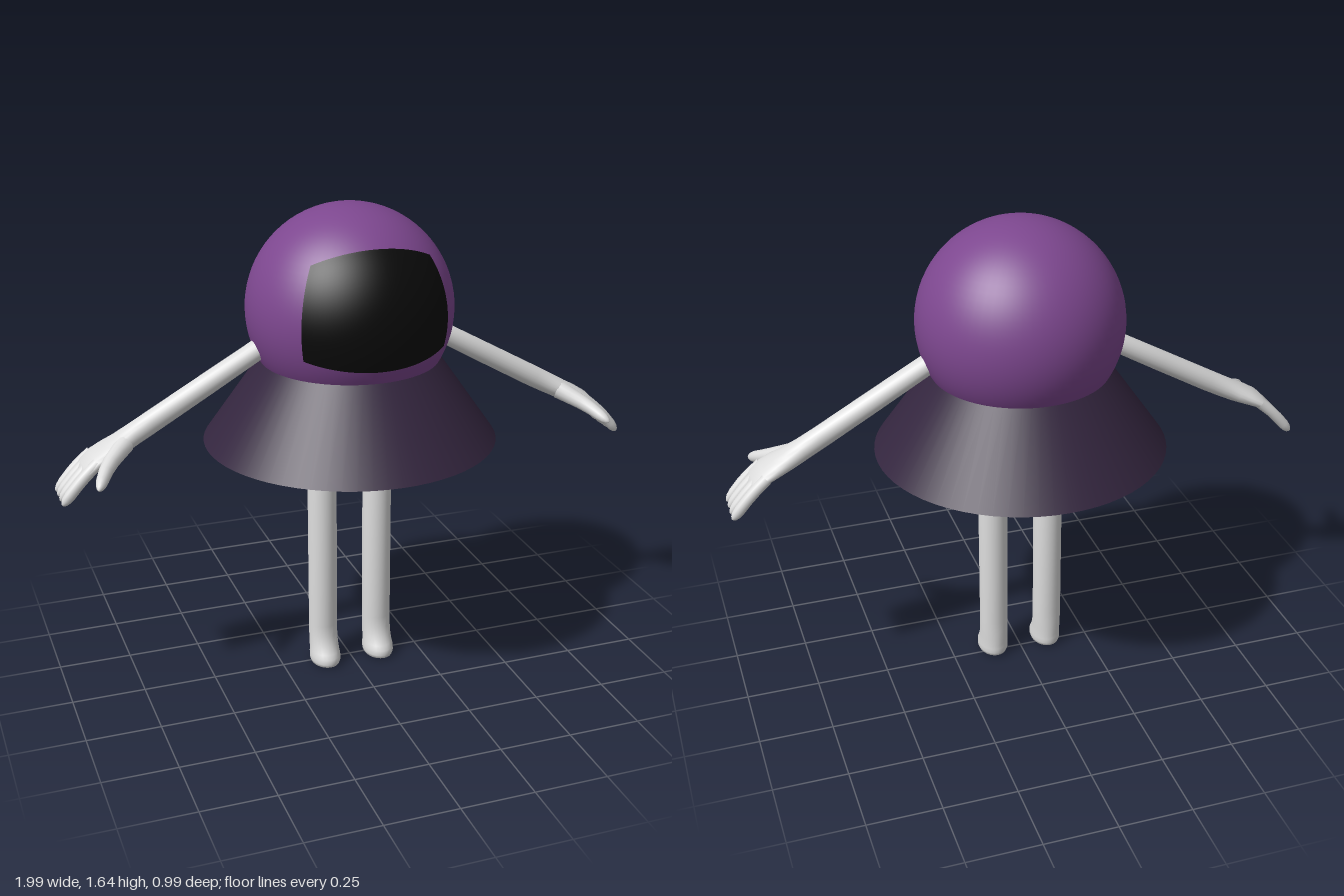
import * as THREE from 'three';

const material = (name, color, side = THREE.FrontSide) => {
  const m = new THREE.MeshStandardMaterial({ color, side });
  m.name = name;
  return m;
};

// Skin through elliptical rings [x, y, z, halfDepth, halfThickness]; depth runs along z
function loft(rings, axis, sides = 20) {
  const pos = [], index = [];
  const at = (i) => new THREE.Vector3(...rings[THREE.MathUtils.clamp(i, 0, rings.length - 1)].slice(0, 3));
  rings.forEach(([, , , a, b], i) => {
    const t = axis ? axis.clone() : at(i + 1).sub(at(i - 1)).normalize();
    const s = new THREE.Vector3(0, 0, 1);
    s.addScaledVector(t, -s.dot(t)).normalize();
    const u = new THREE.Vector3().crossVectors(t, s);
    for (let k = 0; k < sides; k++) {
      const angle = (k / sides) * Math.PI * 2;
      const p = at(i).addScaledVector(s, a * Math.cos(angle)).addScaledVector(u, b * Math.sin(angle));
      pos.push(p.x, p.y, p.z);
    }
  });
  for (let i = 0; i < rings.length - 1; i++) {
    for (let k = 0; k < sides; k++) {
      const p = i * sides + k, q = i * sides + ((k + 1) % sides);
      index.push(p, q, q + sides, p, q + sides, p + sides);
    }
  }
  const g = new THREE.BufferGeometry();
  g.setAttribute('position', new THREE.Float32BufferAttribute(pos, 3));
  g.setIndex(index);
  g.computeVertexNormals();
  return g;
}

// Finger with a rounded tip, following a short curve
function finger(points, r0, r1) {
  const curve = new THREE.CatmullRomCurve3(points.map((p) => new THREE.Vector3(...p)));
  const rings = [0, 0.2, 0.4, 0.6, 0.8, 0.9, 0.96, 0.99, 1].map((t) => {
    const r = THREE.MathUtils.lerp(r0, r1, t);
    const round = t > 0.8 ? Math.sqrt(Math.max(0, 1 - ((t - 0.8) / 0.2) ** 2)) : 1;
    return [...curve.getPoint(t).toArray(), r * round, r * round];
  });
  return loft(rings, null, 14);
}

export function createModel() {
  const model = new THREE.Group();
  model.name = 'helmetFigure';
  const purple = material('purple helmet', 0x7d478f);
  const dark = material('dark purple skirt', 0x34263f);
  const black = material('black visor', 0x0a0a0a, THREE.DoubleSide);
  const white = material('pale grey limbs', 0xdcdcdc);

  const add = (name, geometry, mat, parent = model) => {
    const mesh = new THREE.Mesh(geometry, mat);
    mesh.name = name;
    parent.add(mesh);
    return mesh;
  };

  // Round helmet
  const R = 0.345, headY = 1.3;
  add('helmet', new THREE.SphereGeometry(R, 64, 40), purple).position.y = headY;

  // Visor: a flat rectangle projected onto the helmet
  const visor = new THREE.PlaneGeometry(2, 1.41, 28, 22);
  const p = visor.attributes.position, v = new THREE.Vector3();
  for (let i = 0; i < p.count; i++) {
    v.set(p.getX(i), p.getY(i) + 0.325, 1).setLength(R + 0.003);
    p.setXYZ(i, v.x, v.y, v.z);
  }
  visor.computeVertexNormals();
  add('visor', visor, black).position.y = headY;

  // Flared skirt, closed below
  add('skirt', new THREE.CylinderGeometry(0.3, 0.495, 0.28, 64), dark).position.y = 0.99;

  for (const side of [1, -1]) {
    const label = side > 0 ? 'left' : 'right';

    // Leg and foot in one skin, from the sole up
    const leg = [
      [0, 0.02, 0, 0], [0, 0.02, 0.055, 0.04], [0.006, 0.02, 0.066, 0.049], [0.018, 0.02, 0.071, 0.053],
      [0.035, 0.019, 0.069, 0.053], [0.05, 0.014, 0.064, 0.051], [0.075, 0.006, 0.056, 0.05],
      [0.11, 0.001, 0.051, 0.05], [0.15, 0, 0.05, 0.05], [0.87, 0, 0.05, 0.05], [0.87, 0, 0, 0],
    ].map(([y, z, a, b]) => [side * 0.1, y, z, a, b]);
    add(label + 'Leg', loft(leg, new THREE.Vector3(0, 1, 0), 24), white);

    // Arm widening into the palm
    const arm = new THREE.Group();
    arm.name = label + 'Arm';
    model.add(arm);
    const armRings = [
      [0.298, 1.197, 0, 0, 0], [0.3, 1.196, 0, 0.036, 0.034], [0.5, 1.082, 0, 0.037, 0.036],
      [0.68, 0.98, 0, 0.037, 0.037], [0.74, 0.947, 0.001, 0.042, 0.036], [0.79, 0.92, 0.004, 0.055, 0.034],
      [0.83, 0.902, 0.006, 0.068, 0.031], [0.87, 0.882, 0.006, 0.075, 0.026],
      [0.9, 0.858, 0.006, 0.077, 0.021], [0.917, 0.838, 0.006, 0.074, 0.014], [0.922, 0.832, 0.006, 0, 0],
    ].map(([x, ...rest]) => [side * x, ...rest]);
    add(label + 'ForearmAndPalm', loft(armRings), white, arm);

    // Four fingers and a thumb
    [0.065, 0.024, -0.017, -0.056].forEach((z, i) => {
      const path = [[side * 0.87, 0.884, z * 0.9], [side * 0.925, 0.835, z], [side * 0.992, 0.757, z]];
      add(label + 'Finger' + (i + 1), finger(path, 0.02, 0.018), white, arm);
    });
    const thumb = [[side * 0.775, 0.925, 0.025], [side * 0.845, 0.885, 0.1], [side * 0.893, 0.844, 0.187]];
    add(label + 'Thumb', finger(thumb, 0.032, 0.017), white, arm);
  }
  return model;
}
